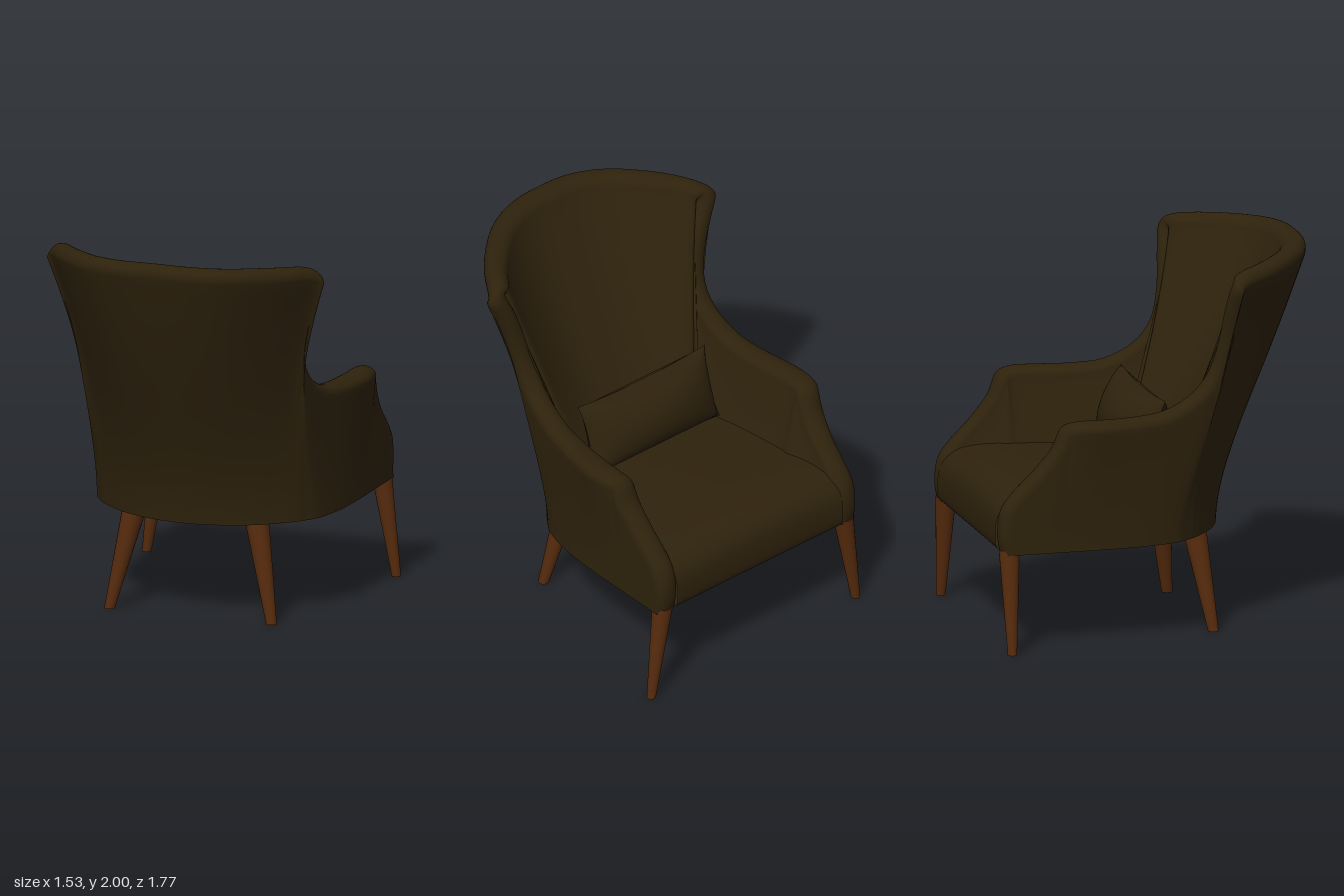
import * as THREE from 'three';

const V = (x, y, z) => new THREE.Vector3(x, y, z);

// Curve through points of the left half, mirrored to the right half
function mirroredCurve(half) {
  const left = half.map(p => V(...p));
  const right = left.slice(0, -1).reverse().map(p => V(-p.x, p.y, p.z));
  return new THREE.CatmullRomCurve3([...left, ...right], false, 'catmullrom', 0.5);
}
const flat = (y, rows) => rows.map(([x, z]) => [x, y, z]);

// Smooth surface from a grid of points
function gridGeometry(nu, nv, point) {
  const pos = [], index = [];
  for (let i = 0; i <= nu; i++) {
    for (let j = 0; j <= nv; j++) {
      pos.push(...point(i / nu, j / nv).toArray());
      if (i === nu || j === nv) continue;
      const a = i * (nv + 1) + j, c = a + nv + 1;
      index.push(a, a + 1, c, a + 1, c + 1, c);
    }
  }
  const g = new THREE.BufferGeometry();
  g.setAttribute('position', new THREE.Float32BufferAttribute(pos, 3));
  g.setIndex(index);
  g.computeVertexNormals();
  return g;
}

// Rim of the shell: arm front, arm top, wing, top of the back
const rim = mirroredCurve([
  [.67, .52, -.87], [.67, .62, -.885], [.67, .74, -.87], [.67, .83, -.81], [.675, .95, -.69],
  [.69, 1.06, -.6], [.7, 1.17, -.55], [.715, 1.2, -.47], [.72, 1.2, -.35], [.69, 1.2, -.15],
  [.66, 1.22, .02], [.635, 1.3, .17], [.63, 1.42, .26], [.66, 1.58, .3], [.715, 1.75, .317],
  [.76, 1.88, .335], [.73, 1.94, .42], [.605, 1.965, .61], [.4, 1.983, .8], [.2, 1.995, .885], [0, 2, .9]]);
// Outer foot of the shell
const foot = mirroredCurve(flat(.52, [
  [.67, -.85], [.67, -.83], [.67, -.81], [.67, -.77], [.67, -.68], [.67, -.6], [.67, -.54],
  [.67, -.46], [.67, -.35], [.66, -.16], [.64, -.03], [.615, .06], [.595, .1], [.57, .135],
  [.545, .17], [.515, .2], [.485, .228], [.38, .31], [.26, .37], [.13, .408], [0, .42]]));
// Inner foot, hidden inside the seat
const inner = mirroredCurve(flat(.65, [
  [.54, -.82], [.53, -.82], [.52, -.8], [.5, -.75], [.47, -.66], [.45, -.58], [.44, -.52],
  [.43, -.45], [.42, -.35], [.41, -.18], [.4, -.1], [.39, -.06], [.38, -.04], [.37, -.02],
  [.36, -.01], [.34, 0], [.32, 0], [.24, 0], [.16, 0], [.08, 0], [0, 0]]));
// Thickness of the rim, pointing inward
const thick = mirroredCurve(flat(0, [
  [-.13, 0], [-.13, 0], [-.13, 0], [-.13, 0], [-.13, 0], [-.14, 0], [-.14, 0],
  [-.14, 0], [-.15, 0], [-.14, 0], [-.13, 0], [-.12, 0], [-.115, 0], [-.11, 0],
  [-.11, 0], [-.11, .01], [-.1, -.05], [-.08, -.1], [-.05, -.13], [-.02, -.135], [0, -.135]]));

function shellPoint(u, v) {
  const p = rim.getPoint(u), n = thick.getPoint(u);
  // Outward direction of the rim, leaning with the back
  const r = n.clone().cross(rim.getTangent(u)).normalize();
  const lean = Math.max(0, p.z) * Math.max(0, r.y), h = .055 + .02 * lean;
  r.z += .25 * lean;
  if (v < .4) { // outer face, flaring toward the rim
    const t = v / .4, b = foot.getPoint(u), e = p.addScaledVector(r, -h);
    const wx = t ** 1.9, wz = t - .9 * t * (1 - t) ** 3;
    return V(b.x + (e.x - b.x) * wx, b.y + (e.y - b.y) * t, b.z + (e.z - b.z) * wz);
  }
  if (v <= .7) { // rounded rim
    const a = (v - .4) / .3 * Math.PI, rise = Math.max(0, Math.sin(a)) ** .85;
    return p.addScaledVector(n, (1 - Math.cos(a)) / 2).addScaledVector(r, -h * (1 - rise));
  }
  // Inner face, running smoothly out of the rim
  const t = (v - .7) / .3, f = p.add(n).addScaledVector(r, -h), q = inner.getPoint(u);
  q.y = Math.min(q.y, f.y);
  const c = f.clone().lerp(q, .35);
  c.addScaledVector(r, -.1 * Math.max(0, r.y) * f.distanceTo(q));
  return f.lerp(c, t).lerp(c.lerp(q, t), t);
}

// Puffed pillow with pointed corners; side is 1 for the front sheet, -1 for the back
function pillowPoint(side) {
  return (s, t) => {
    const a = (s * 2 - 1) * side, b = t * 2 - 1;
    const x = a * .43 * (1 - .06 * (1 - b * b));
    const y = b * .2 * (1 - .1 * (1 - a * a));
    const puff = .14 * Math.sqrt(Math.max(0, (1 - a * a) * (1 - b * b)));
    return V(x, y, -side * puff);
  };
}

export function createModel() {
  const fabric = new THREE.MeshStandardMaterial({ color: 0x2e220c, side: THREE.DoubleSide });
  fabric.name = 'darkFabric';
  const wood = new THREE.MeshStandardMaterial({ color: 0x562b0d });
  wood.name = 'brownWood';
  const model = new THREE.Group();
  model.name = 'wingArmchair';
  const add = (name, geometry, material, parent = model) => {
    const m = new THREE.Mesh(geometry, material);
    m.name = name;
    parent.add(m);
  };

  // Back, wings and arms in one wrapped shell
  add('shell', gridGeometry(160, 50, shellPoint), fabric);

  // Underside
  const outline = new THREE.Shape(foot.getPoints(80).map(p => new THREE.Vector2(p.x, p.z)));
  add('underside', new THREE.ShapeGeometry(outline).rotateX(Math.PI / 2).translate(0, .52, 0), fabric);

  // Seat with a rolled front edge and a soft crown across its width
  const profile = new THREE.CatmullRomCurve3([
    V(0, .52, -.84), V(0, .54, -.875), V(0, .62, -.885), V(0, .72, -.865), V(0, .79, -.8),
    V(0, .82, -.69), V(0, .82, -.4), V(0, .8, 0), V(0, .79, .15)]);
  add('seat', gridGeometry(24, 40, (s, t) => {
    const p = profile.getPoint(t), a = 1 - 2 * s;
    p.x = -a * .56;
    p.y += .02 * (1 - a * a) * Math.min(1, (p.y - .52) / .2);
    return p;
  }), fabric);

  // Lumbar pillow leaning on the back
  const pillow = new THREE.Group();
  pillow.name = 'pillow';
  pillow.position.set(0, 1.035, 0);
  pillow.rotation.x = .3;
  model.add(pillow);
  add('pillowFront', gridGeometry(32, 20, pillowPoint(1)), fabric, pillow);
  add('pillowBack', gridGeometry(32, 20, pillowPoint(-1)), fabric, pillow);

  // Splayed tapered legs, sheared so that both ends stay level
  const leg = (name, top, bottom, rTop, rBottom) => {
    const g = new THREE.CylinderGeometry(rTop, rBottom, .54, 20);
    const shear = new THREE.Matrix4().set(
      1, (top[0] - bottom[0]) / .54, 0, (top[0] + bottom[0]) / 2,
      0, 1, 0, .27,
      0, (top[1] - bottom[1]) / .54, 1, (top[1] + bottom[1]) / 2,
      0, 0, 0, 1);
    add(name, g.applyMatrix4(shear), wood);
  };
  for (const [side, s] of [['Left', 1], ['Right', -1]]) {
    leg('frontLeg' + side, [s * .61, -.825], [s * .69, -.83], .054, .024);
    leg('backLeg' + side, [s * .335, .235], [s * .447, .31], .064, .028);
  }
  return model;
}
